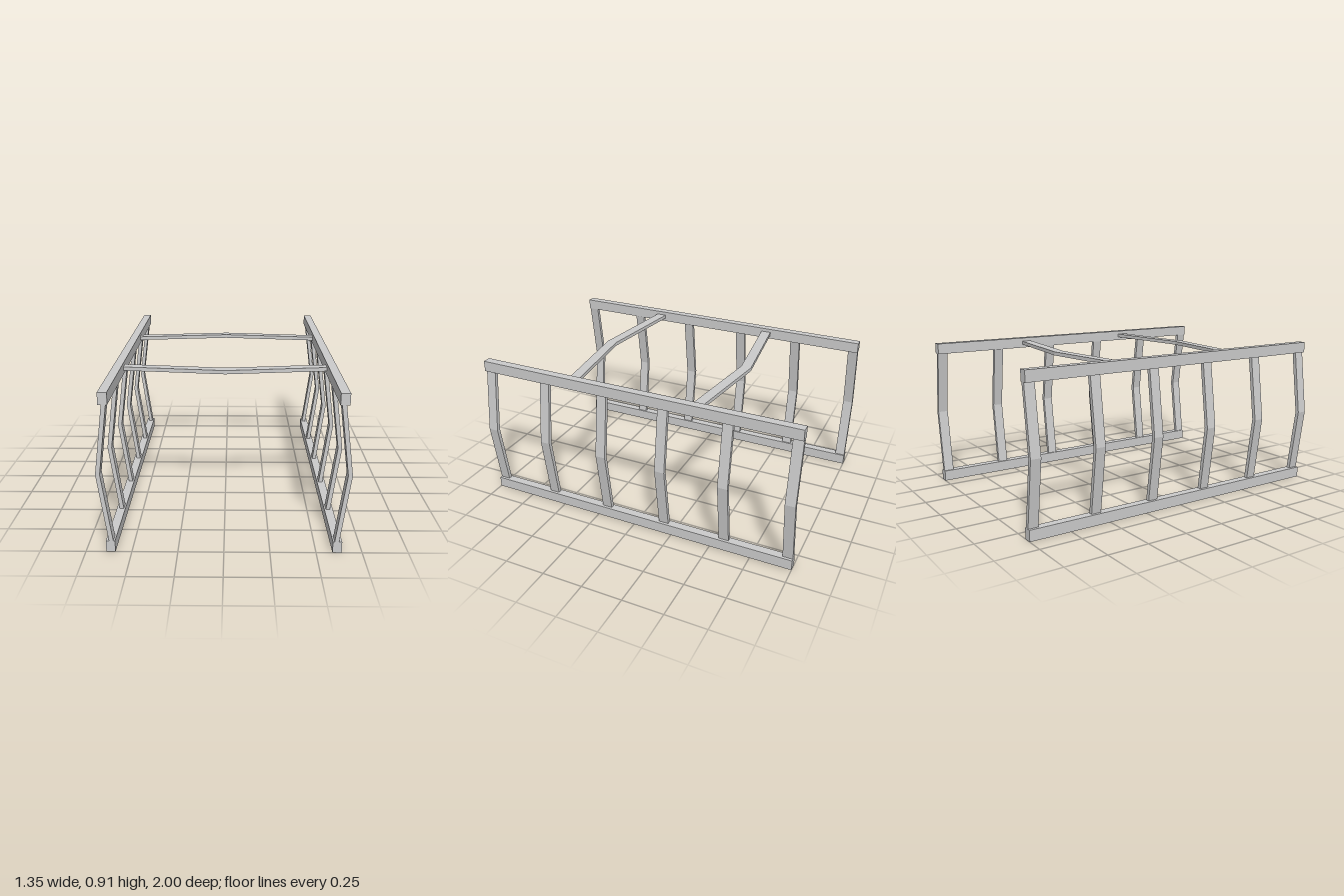
import * as THREE from 'three';

const material = new THREE.MeshStandardMaterial({ color: 0xcccccc, flatShading: true });

// Extrude a closed 2D outline, centred along its depth
function prism(points, depth) {
  const shape = new THREE.Shape(points.map(([x, y]) => new THREE.Vector2(x, y)));
  return new THREE.ExtrudeGeometry(shape, { depth, bevelEnabled: false }).translate(0, 0, -depth / 2);
}

// Bar with one bend: centreline a -> b -> c, thickened along the x or y axis
function bentBar(line, tx, ty, depth) {
  const near = line.map(([x, y]) => [x - tx / 2, y - ty / 2]);
  const far = line.map(([x, y]) => [x + tx / 2, y + ty / 2]).reverse();
  return prism([...near, ...far], depth);
}

export function createModel() {
  const model = new THREE.Group();
  model.name = 'rackFrame';
  const add = (geometry, name, x, y, z, parent = model) => {
    const mesh = new THREE.Mesh(geometry, material);
    mesh.name = name;
    mesh.position.set(x, y, z);
    parent.add(mesh);
    return mesh;
  };

  // Side ladders: two long rails joined by outward-bent posts
  const railGeometry = new THREE.BoxGeometry(0.05, 0.065, 2);
  for (const side of [-1, 1]) {
    const ladder = new THREE.Group();
    ladder.name = side > 0 ? 'leftSide' : 'rightSide';
    model.add(ladder);
    add(railGeometry, 'bottomRail', side * 0.614, 0.0325, 0, ladder);
    add(railGeometry, 'topRail', side * 0.614, 0.873, 0, ladder);

    const line = [[side * 0.608, 0.05], [side * 0.662, 0.453], [side * 0.608, 0.856]];
    const postGeometry = bentBar(line, 0.024, 0, 0.061);
    for (let i = 0; i < 6; i++) {
      add(postGeometry, 'post', 0, 0, -0.969 + i * 0.3876, ladder);
    }
  }

  // Cross bars between the top rails, bent outward at the middle
  for (const [name, end, middle] of [['frontCrossBar', 0.4, 0.474], ['backCrossBar', -0.379, -0.455]]) {
    // Outline lies in x and -z, then is laid flat
    const bar = bentBar([[-0.6, -end], [0, -middle], [0.6, -end]], 0, 0.062, 0.022);
    bar.rotateX(-Math.PI / 2);
    add(bar, name, 0, 0.873, 0);
  }

  return model;
}
